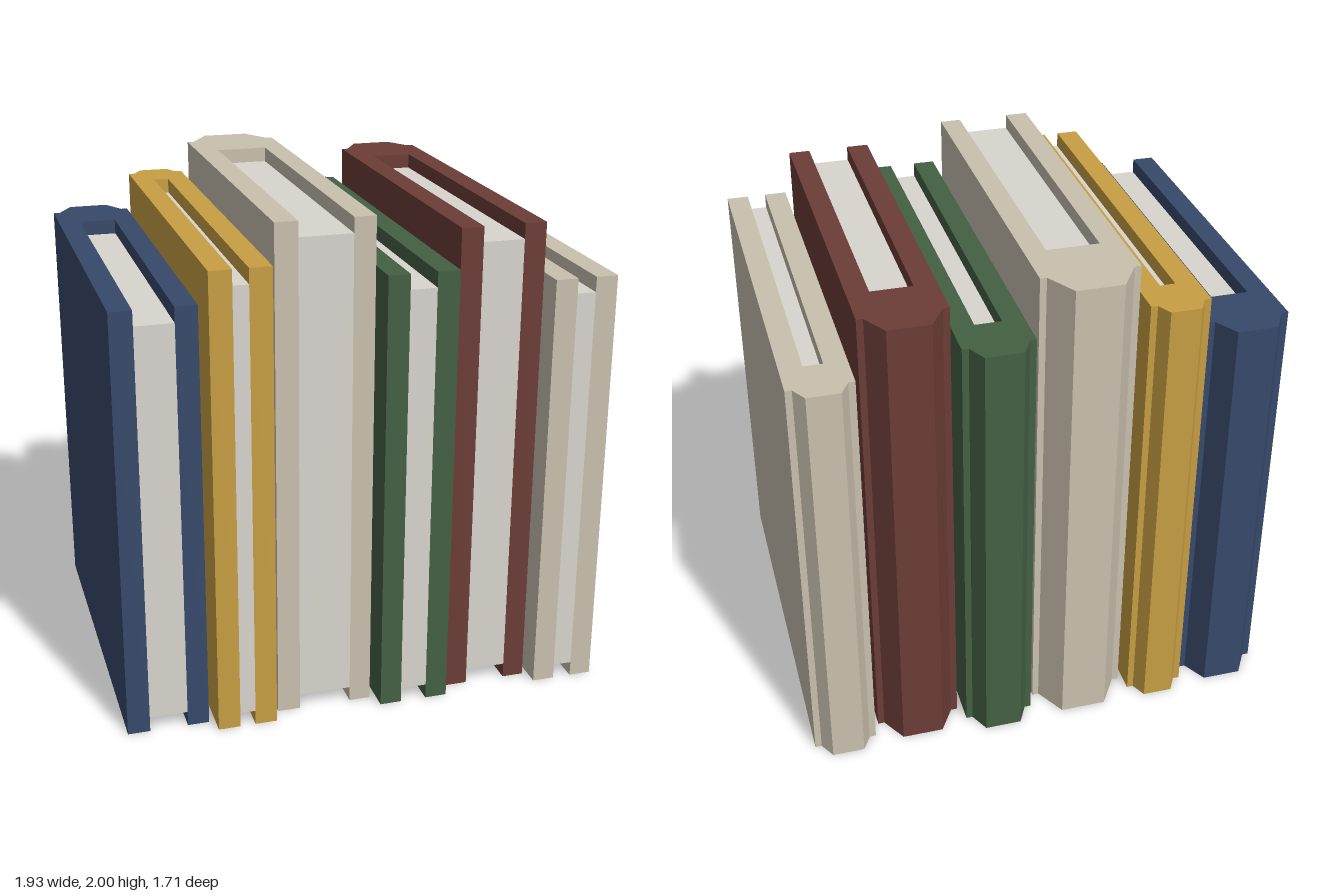
import * as THREE from 'three';

const mat = (name, color) => {
  const m = new THREE.MeshStandardMaterial({ color });
  m.name = name;
  return m;
};

export function createModel() {
  const navy = mat('navy cloth', 0x37496a);
  const ochre = mat('ochre cloth', 0xc89f43);
  const cream = mat('cream cloth', 0xcac1af);
  const green = mat('green cloth', 0x446044);
  const maroon = mat('maroon cloth', 0x6c3d37);
  const paper = mat('paper', 0xd9d5ce);

  // outer x range, inner x range, spine flat x range, height,
  // z of fore edge, gutter (inner spine), shoulder and spine back
  const books = [
    { name: 'navyBook', cloth: navy, out: [-0.968, -0.645], inn: [-0.88, -0.73], flat: [-0.884, -0.725], h: 1.72, front: 0.785, gutter: -0.527, shoulder: -0.715, back: -0.81 },
    { name: 'ochreBook', cloth: ochre, out: [-0.62, -0.385], inn: [-0.533, -0.472], flat: [-0.56, -0.44], h: 1.86, front: 0.85, gutter: -0.632, shoulder: -0.777, back: -0.837 },
    { name: 'tallCreamBook', cloth: cream, out: [-0.363, 0.02], inn: [-0.273, -0.065], flat: [-0.26, -0.075], h: 2, front: 0.785, gutter: -0.507, shoulder: -0.715, back: -0.837 },
    { name: 'greenBook', cloth: green, out: [0.046, 0.325], inn: [0.132, 0.237], flat: [0.112, 0.26], h: 1.79, front: 0.85, gutter: -0.617, shoulder: -0.777, back: -0.855 },
    { name: 'maroonBook', cloth: maroon, out: [0.35, 0.688], inn: [0.438, 0.602], flat: [0.437, 0.602], h: 1.93, front: 0.785, gutter: -0.522, shoulder: -0.713, back: -0.815 },
    { name: 'smallCreamBook', cloth: cream, out: [0.711, 0.963], inn: [0.8, 0.875], flat: [0.772, 0.9], h: 1.72, front: 0.85, gutter: -0.627, shoulder: -0.777, back: -0.84 },
  ];

  const group = new THREE.Group();
  group.name = 'bookRow';
  const ledge = 0.026; // step where spine meets boards
  const inset = 0.06;  // pages sit below the cover at top and bottom

  for (const b of books) {
    const book = new THREE.Group();
    book.name = b.name;

    // U-shaped cover: two boards joined by a bevelled spine, drawn as (x, -z)
    const profile = [
      [b.out[0], b.front], [b.inn[0], b.front], [b.inn[0], b.gutter],
      [b.inn[1], b.gutter], [b.inn[1], b.front], [b.out[1], b.front],
      [b.out[1], b.shoulder], [b.out[1] - ledge, b.shoulder],
      [b.flat[1], b.back], [b.flat[0], b.back],
      [b.out[0] + ledge, b.shoulder], [b.out[0], b.shoulder],
    ];
    const shape = new THREE.Shape(profile.map(([x, z]) => new THREE.Vector2(x, -z)));
    const coverGeo = new THREE.ExtrudeGeometry(shape, { depth: b.h, bevelEnabled: false });
    coverGeo.rotateX(-Math.PI / 2);
    const cover = new THREE.Mesh(coverGeo, b.cloth);
    cover.name = 'cover';

    // Page block between the boards, flush with the fore edge
    const depth = b.front - b.gutter;
    const pages = new THREE.Mesh(
      new THREE.BoxGeometry(b.inn[1] - b.inn[0], b.h - 2 * inset, depth), paper);
    pages.name = 'pages';
    pages.position.set((b.inn[0] + b.inn[1]) / 2, b.h / 2, b.gutter + depth / 2);

    book.add(cover, pages);
    group.add(book);
  }
  return group;
}
